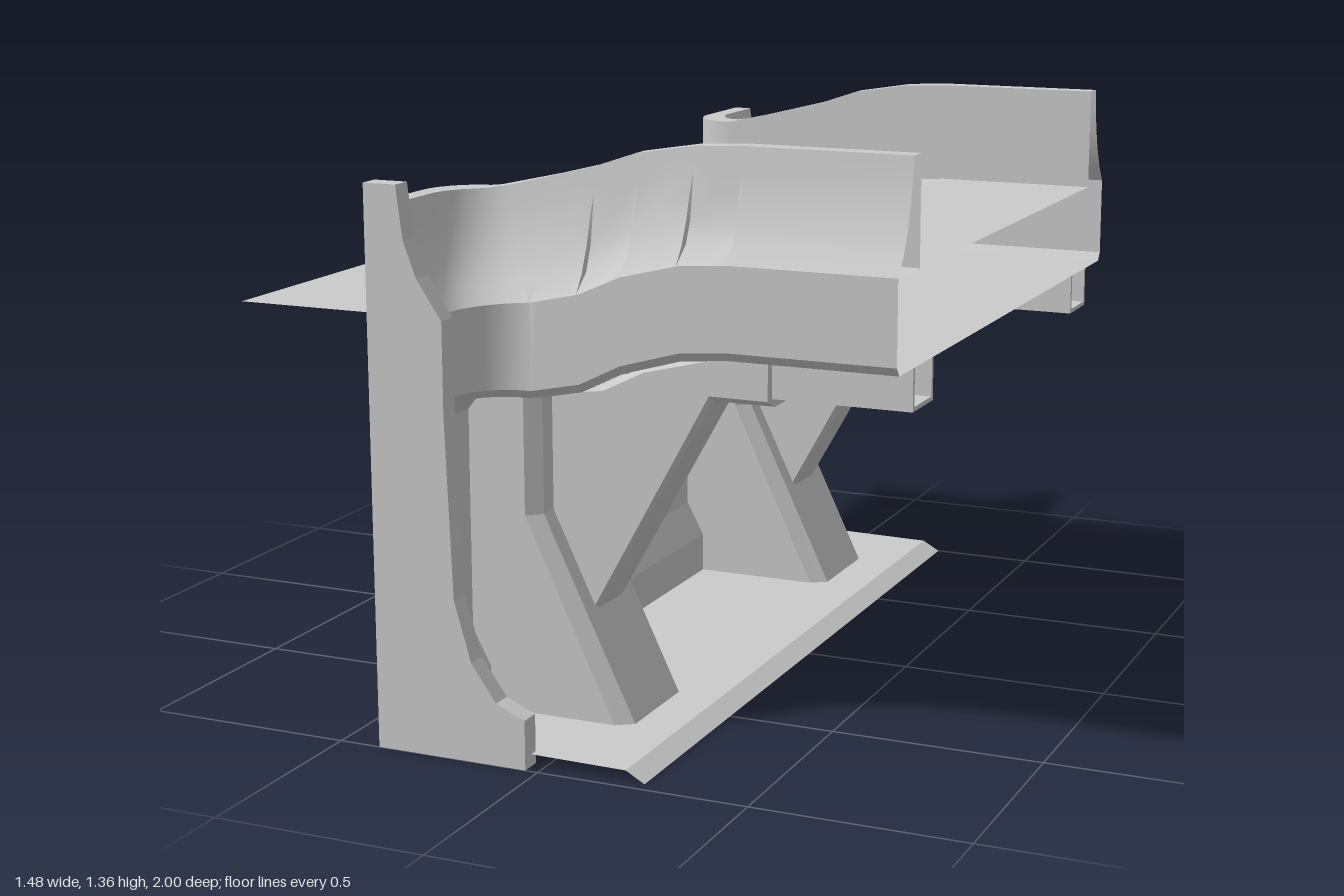
import * as THREE from 'three';
import { toCreasedNormals } from 'three/addons/utils/BufferGeometryUtils.js';

const grey = new THREE.MeshStandardMaterial({ color: 0xcccccc, side: THREE.DoubleSide });
const HALF = 0.985; // half length in z

function mesh(geometry, name) {
  const m = new THREE.Mesh(geometry, grey);
  m.name = name;
  return m;
}

// Surface through rows of [x, y, z] points
function sheet(rows, name, crease = 0.6) {
  const n = rows[0].length, index = [];
  for (let i = 0; i < rows.length - 1; i++) {
    for (let j = 0; j < n - 1; j++) {
      const a = i * n + j, b = a + n;
      index.push(a, a + 1, b, b, a + 1, b + 1);
    }
  }
  const g = new THREE.BufferGeometry();
  g.setAttribute('position', new THREE.Float32BufferAttribute(rows.flat(2), 3));
  g.setIndex(index);
  return mesh(toCreasedNormals(g, crease), name);
}

// Flat xy outline with thickness along z, centred on zc
function slab(points, zc, depth, name, bevel = 0) {
  const shape = new THREE.Shape(points.map(p => new THREE.Vector2(...p)));
  const g = new THREE.ExtrudeGeometry(shape, {
    depth: depth - 2 * bevel, bevelEnabled: bevel > 0, bevelSize: bevel,
    bevelThickness: bevel, bevelOffset: -bevel, bevelSegments: 1,
  });
  g.translate(0, 0, zc - depth / 2 + bevel);
  return mesh(g, name);
}

function box(x0, x1, y0, y1, z0, z1, name) {
  const g = new THREE.BoxGeometry(x1 - x0, y1 - y0, z1 - z0);
  g.translate((x0 + x1) / 2, (y0 + y1) / 2, (z0 + z1) / 2);
  return mesh(g, name);
}

// Piecewise linear lookup
function lookup(table, x) {
  if (x <= table[0][0]) return table[0][1];
  for (let i = 1; i < table.length; i++) {
    const [a, u] = table[i - 1], [b, v] = table[i];
    if (x <= b) return u + (v - u) * (x - a) / (b - a);
  }
  return table[table.length - 1][1];
}

// The ramp starts earlier along the parapet top than along the underside
const lowRise = [[-0.12, 0], [0, 0.025], [0.1, 0.075], [0.24, 0.115], [0.35, 0.125]];
const topRise = [[-0.27, 0], [-0.2, 0.012], [0, 0.063], [0.1, 0.097], [0.24, 0.12], [0.35, 0.125]];
const rise = (x, k) => lookup(lowRise, x) * (1 - k) + lookup(topRise, x) * k;

// Plan path of the parapet: end, rounded corner, straight run
const path = [{ x: -0.385, z: HALF, dx: 1, dz: 0 }];
for (let i = 0; i <= 8; i++) {
  const a = Math.PI / 2 * i / 8;
  path.push({ x: -0.255 - 0.13 * Math.cos(a), z: 0.785 - 0.13 * Math.sin(a), dx: 1, dz: 1 });
}
for (const x of [-0.1, -0.05, -0.005, 0, 0.05, 0.1, 0.105, 0.17, 0.235, 0.24, 0.295, 0.35, 0.355, 0.74]) {
  const dent = (x >= 0 && x <= 0.1) || (x >= 0.24 && x <= 0.35);
  path.push({ x, z: 0.655, dx: 0, dz: 1, dent });
}
const at = (p, o, y, k) => {
  const x = p.x + p.dx * o;
  return [x, y + rise(x, k), p.z + p.dz * o];
};

// Parapet section: offset, height, share of top ramp, dent depth
const section = [
  [0, 0.99, 0.5, 0], [0, 1.235, 1, 0], [0.045, 1.235, 1, 0], [0.053, 1.18, 0.8, 0],
  [0.064, 1.13, 0.7, 0.004], [0.08, 1.08, 0.6, 0.01], [0.105, 1.03, 0.4, 0.012],
  [0.135, 0.99, 0.3, 0], [0.135, 0.8, 0, 0], [0.12, 0.78, 0, 0],
];

// Parts repeated at both ends of the deck
function createSide() {
  const side = new THREE.Group();
  side.add(sheet(path.map(p => section.map(([o, y, k, d]) => at(p, o - (p.dent ? d : 0), y, k))), 'parapet'));

  // Buttress with chamfered front edges
  const zc = 0.605;
  const leg = [[-0.16, -0.125, 0.78], [-0.16, -0.125, 0.5], [0.06, 0.1, 0.03]];
  side.add(sheet(leg.map(([edge, front, y]) => [
    [-0.3, y, zc - 0.147], [edge, y, zc - 0.147], [front, y, zc - 0.12],
    [front, y, zc + 0.12], [edge, y, zc + 0.147], [-0.3, y, zc + 0.147],
  ]), 'buttress', 0.2));

  // Diagonal bracket and the channel it carries
  side.add(slab([[-0.14, 0.78], [-0.14, 0.45], [-0.025, 0.26], [0.27, 0.787], [0.415, 0.787],
    [0.415, 0.905], [0.3, 0.9], [0.1, 0.85], [0, 0.8]], zc, 0.146, 'bracket', 0.012));
  side.add(box(0.41, 0.735, 0.805, 0.815, zc - 0.066, zc + 0.066, 'channelBase'));
  for (const s of [-1, 1]) {
    const z = zc + s * 0.061;
    side.add(box(0.41, 0.735, 0.805, 0.905, z - 0.005, z + 0.005, 'channelWall'));
  }
  return side;
}

export function createModel() {
  const model = new THREE.Group();
  model.name = 'raisedWalkway';
  const body = new THREE.Group();
  body.name = 'body';
  body.position.z = -0.015;
  model.add(body);

  // Deck and underside follow the plan path of the parapets
  const across = ([x, y, z]) => [[x, y, z], [x, y, -z]];
  body.add(sheet([[-0.74, 0.99, HALF], ...path.map(p => at(p, 0, 0.99, 0.5))].map(across), 'deck'));
  body.add(sheet([[-0.3, 0.735, HALF], ...path.map(p => at(p, 0.12, 0.78, 0))].map(across), 'underside'));

  // Back wall with a stepped skirt, and the floor sheet
  const strip = pts => pts.map(([x, y]) => across([x, y, HALF]));
  body.add(sheet(strip([[-0.3, 0.735], [-0.3, 0.215], [-0.255, 0.13], [-0.255, 0.03]]), 'backWall', 0.2));
  body.add(sheet(strip([[-0.255, 0.03], [0.2, 0.025], [0.245, 0]]), 'floor', 0.02));

  for (const s of [1, -1]) {
    const side = createSide();
    side.name = s > 0 ? 'frontSide' : 'backSide';
    side.scale.z = s;
    body.add(side);
  }

  // End post
  model.add(slab([[-0.4, 0], [-0.03, 0], [-0.03, 0.115], [-0.1, 0.145], [-0.16, 0.23], [-0.2, 0.37],
    [-0.215, 0.78], [-0.215, 0.99], [-0.275, 1.08], [-0.305, 1.16], [-0.32, 1.28], [-0.4, 1.28]],
  0.975, 0.05, 'endPost'));
  return model;
}
